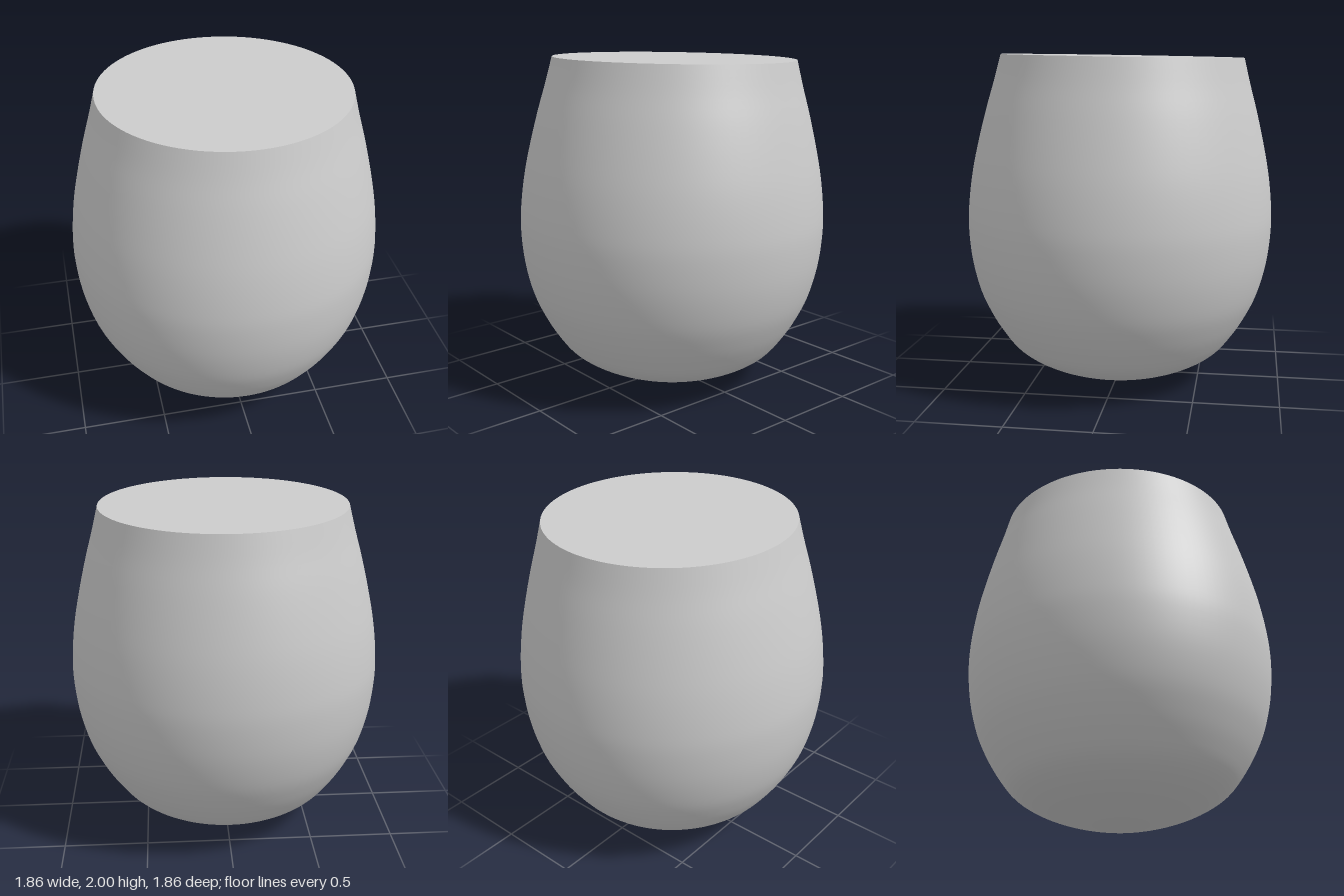
import * as THREE from 'three';

export function createModel() {
  const model = new THREE.Group();
  const material = new THREE.MeshStandardMaterial({ color: 0xcccccc });
  const segments = 96;

  // Side profile (radius, height), measured from the middle of the body
  const pivot = 0.95;
  const profile = [
    [0, 0], [0.12, 0.004], [0.22, 0.023], [0.4, 0.075], [0.54, 0.135], [0.65, 0.21],
    [0.73, 0.31], [0.80, 0.425], [0.865, 0.57], [0.912, 0.76], [0.931, 0.96],
    [0.925, 1.12], [0.902, 1.3], [0.865, 1.48], [0.818, 1.67], [0.77, 1.84], [0.732, 1.988],
  ].map(([r, y]) => new THREE.Vector2(r, y - pivot));
  const points = new THREE.SplineCurve(profile).getPoints(64);
  points.forEach((p) => { p.x = Math.max(p.x, 0); });
  const rim = profile[profile.length - 1];

  // Rounded bowl-shaped body
  const body = new THREE.Mesh(new THREE.LatheGeometry(points, segments), material);
  body.name = 'body';

  // Flat lid closing the top with a sharp edge
  const lid = new THREE.Mesh(new THREE.CircleGeometry(rim.x, segments), material);
  lid.name = 'topFace';
  lid.rotation.x = -Math.PI / 2;
  lid.position.y = rim.y;

  // The whole body leans very slightly backwards and to its left
  const vessel = new THREE.Group();
  vessel.name = 'vessel';
  vessel.add(body, lid);
  vessel.position.y = pivot;
  vessel.rotation.set(-0.017, 0, -0.005);
  model.add(vessel);
  return model;
}
